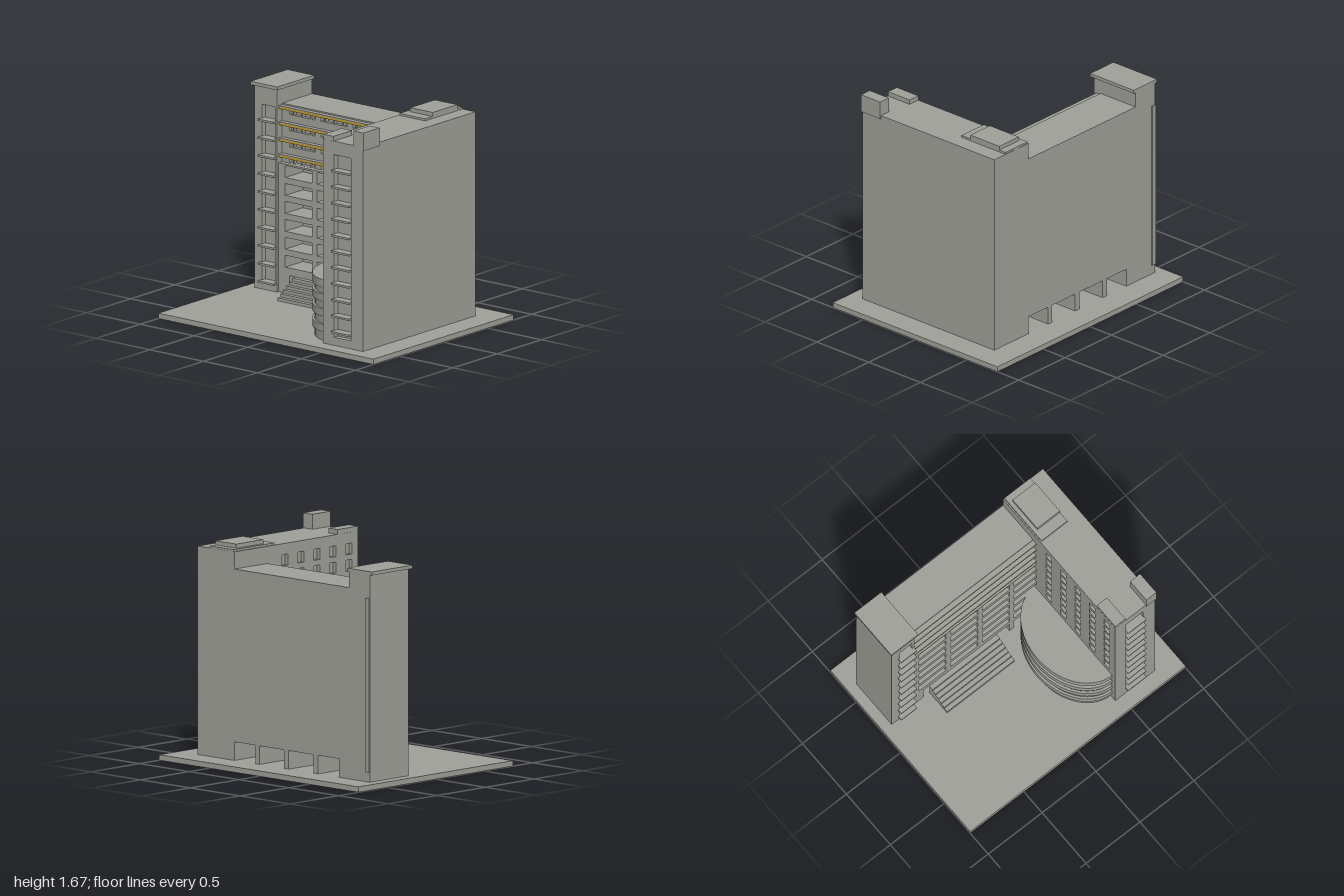
import * as THREE from 'three';

export function createModel() {
  const root = new THREE.Group();
  const concrete = new THREE.MeshStandardMaterial({ color: 0xa1a19a });
  concrete.name = 'concrete grey';
  const ochre = new THREE.MeshStandardMaterial({ color: 0xc8a030 });
  ochre.name = 'ochre yellow';

  function add(parent, name, geometry, material = concrete) {
    const mesh = new THREE.Mesh(geometry, material);
    mesh.name = name;
    parent.add(mesh);
    return mesh;
  }
  function group(name) {
    const g = new THREE.Group();
    g.name = name;
    root.add(g);
    return g;
  }
  // box given by its limits
  function box(parent, name, x0, x1, y0, y1, z0, z1, material) {
    const geo = new THREE.BoxGeometry(x1 - x0, y1 - y0, z1 - z0);
    geo.translate((x0 + x1) / 2, (y0 + y1) / 2, (z0 + z1) / 2);
    return add(parent, name, geo, material);
  }
  const rect = (Type, x0, x1, y0, y1) => new Type([
    new THREE.Vector2(x0, y0), new THREE.Vector2(x1, y0),
    new THREE.Vector2(x1, y1), new THREE.Vector2(x0, y1)]);
  // wall panel with rectangular openings [x0, x1, y0, y1]
  function panel(parent, name, x0, x1, y0, y1, z0, z1, openings) {
    const shape = rect(THREE.Shape, x0, x1, y0, y1);
    for (const o of openings) shape.holes.push(rect(THREE.Path, ...o));
    const geo = new THREE.ExtrudeGeometry(shape, { depth: z1 - z0, bevelEnabled: false });
    geo.translate(0, 0, z0);
    return add(parent, name, geo);
  }

  box(root, 'groundSlab', -1, 1, 0, 0.04, -0.8, 0.79);

  // Central block, lower floors with deep openings
  const block = group('centralBlock');
  const bays = [-0.65, -0.355, -0.06, 0.23];
  const lowerOpenings = [];
  for (let row = 0; row < 6; row++) {
    const y = 0.232 + row * 0.1335;
    for (const x of bays) lowerOpenings.push([x, x + 0.25, y, y + 0.088]);
  }
  box(block, 'lowerCore', -0.71, 0.46, 0.175, 1.0, -0.6, -0.42);
  panel(block, 'lowerFacade', -0.71, 0.5, 0.175, 1.0, -0.42, -0.22, lowerOpenings);

  // Ground floor pillars
  for (const [a, b] of [[-0.71, -0.61], [-0.4, -0.355], [-0.105, -0.06], [0.19, 0.23]])
    box(block, 'groundPillar', a, b, 0.04, 0.175, -0.6, -0.22);

  // Upper floors with grouped windows, ledges and yellow bands
  const upperOpenings = [];
  const bands = [1.05, 1.17, 1.29, 1.41];
  for (const y of bands)
    for (const x of bays)
      for (const [a, b] of [[0.008, 0.04], [0.05, 0.12], [0.13, 0.205], [0.215, 0.247]])
        upperOpenings.push([x + a, x + b, y - 0.049, y - 0.01]);
  box(block, 'upperCore', -0.71, 0.46, 1.0, 1.435, -0.6, -0.29);
  panel(block, 'upperFacade', -0.71, 0.5, 1.0, 1.435, -0.29, -0.26, upperOpenings);
  for (const y of bands) {
    box(block, 'yellowBand', -0.71, 0.44, y - 0.009, y + 0.008, -0.262, -0.222, ochre);
    box(block, 'floorLedge', -0.71, 0.44, y + 0.008, y + 0.015, -0.262, -0.22);
  }

  // Entrance stairs
  const stairs = group('entranceStairs');
  for (let i = 0; i < 6; i++)
    box(stairs, 'step', -0.555, 0.07, 0.04, 0.175 - i * 0.0225, -0.22, -0.182 + i * 0.033);

  // Narrow tower
  const narrow = group('narrowTower');
  box(narrow, 'narrowTowerCore', -0.92, -0.71, 0.04, 1.55, -0.6, -0.24);
  panel(narrow, 'narrowTowerFront', -0.92, -0.71, 0.04, 1.55, -0.24, -0.2,
    [[-0.85, -0.73, 0.1, 1.415]]);
  box(narrow, 'narrowTowerCap', -0.94, -0.69, 1.55, 1.575, -0.6, -0.18);
  for (let i = 0; i < 10; i++) {
    const y = 0.1 + i * 0.1338;
    box(narrow, 'narrowTowerLedge', -0.86, -0.715, y - 0.007, y + 0.007, -0.24, -0.165);
  }
  box(narrow, 'rearStrip', -0.918, -0.88, 0.11, 1.38, -0.609, -0.6);

  // Wide tower
  const wide = group('wideTower');
  box(wide, 'wideTowerCore', 0.47, 0.81, 0.04, 1.56, -0.6, 0.63);
  panel(wide, 'wideTowerFront', 0.44, 0.81, 0.04, 1.56, 0.63, 0.675,
    [[0.54, 0.7, 0.1, 1.46]]);
  for (let i = 0; i < 11; i++) {
    const y = 0.143 + i * 0.12;
    box(wide, 'wideTowerLedge', 0.535, 0.705, y - 0.007, y + 0.007, 0.63, 0.705);
  }
  // inner side wall with rows of small windows
  const sideOpenings = [];
  for (let row = 0; row < 8; row++)
    for (let col = 0; col < 5; col++) {
      const z = -0.08 + col * 0.165, y = 1.44 - row * 0.12;
      sideOpenings.push([z - 0.03, z + 0.03, y - 0.04, y + 0.04]);
    }
  panel(wide, 'wideTowerSide', -0.6, 0.63, 0.04, 1.56, -0.47, -0.44, sideOpenings)
    .rotation.y = -Math.PI / 2;

  // Roof structures
  box(wide, 'roofPlinth', 0.45, 0.69, 1.56, 1.575, -0.598, -0.175).scale.set(1, 1, 1);
  box(wide, 'roofPlantRoom', 0.48, 0.69, 1.56, 1.605, -0.54, -0.26);
  box(wide, 'roofHatch', 0.441, 0.535, 1.56, 1.595, 0.465, 0.674);
  box(wide, 'cornerTurret', 0.725, 0.818, 1.535, 1.67, 0.495, 0.68);

  // Half-oval annex with alternating bands and recessed strips
  const annex = group('ovalAnnex');
  function halfOval(name, inset, y0, y1) {
    const geo = new THREE.CylinderGeometry(1, 1, y1 - y0, 40, 1, false, Math.PI, Math.PI);
    geo.scale(0.335 - inset, 1, 0.44 - inset);
    geo.translate(0.44, (y0 + y1) / 2, 0.2);
    add(annex, name, geo);
  }
  halfOval('annexCore', 0.018, 0.04, 0.499);
  for (const [a, b] of [[0.11, 0.165], [0.225, 0.28], [0.335, 0.39], [0.44, 0.5]])
    halfOval('annexBand', 0, a, b);

  // centre the depth on the origin
  root.position.z = 0.005;
  return root;
}
